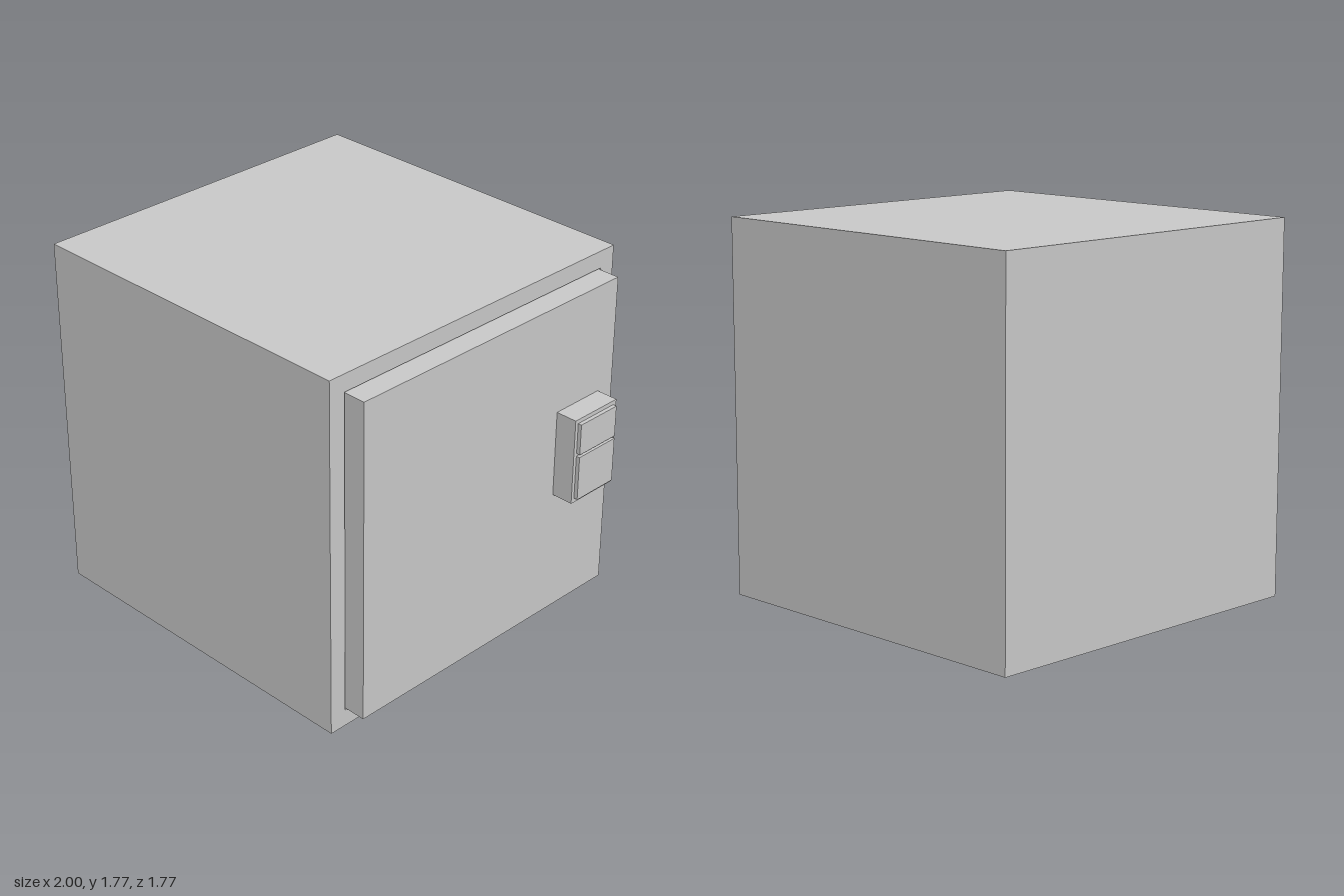
import * as THREE from 'three';

const grey = new THREE.MeshStandardMaterial({ color: 0xcccccc, flatShading: true });
const inside = new THREE.MeshStandardMaterial({ color: 0xcccccc, flatShading: true, side: THREE.BackSide });

// Box given by its minimum and maximum on each axis
function boxGeometry([x0, x1], [y0, y1], [z0, z1]) {
  return new THREE.BoxGeometry(x1 - x0, y1 - y0, z1 - z0)
    .translate((x0 + x1) / 2, (y0 + y1) / 2, (z0 + z1) / 2);
}

// The same box without its +x face
function openBoxGeometry(x, y, z) {
  const g = boxGeometry(x, y, z);
  g.setIndex(Array.from(g.index.array).slice(6));
  g.clearGroups();
  return g;
}

function rectangle(path, half, y0, y1) {
  path.moveTo(-half, y0);
  path.lineTo(half, y0);
  path.lineTo(half, y1);
  path.lineTo(-half, y1);
  path.closePath();
  return path;
}

export function createModel() {
  const model = new THREE.Group();
  const add = (name, geometry, material = grey, parent = model) => {
    const mesh = new THREE.Mesh(geometry, material);
    mesh.name = name;
    parent.add(mesh);
  };

  // Hollow cabinet, open towards +x
  const cabinet = new THREE.Group();
  cabinet.name = 'cabinet';
  model.add(cabinet);
  const front = 0.765, half = 0.885, top = 1.77, hole = 0.8, holeY = [0.085, 1.685];
  add('cabinetShell', openBoxGeometry([-1, front], [0, top], [-half, half]), grey, cabinet);
  add('cabinetLining', openBoxGeometry([-0.915, front], holeY, [-hole, hole]), inside, cabinet);
  const rim = rectangle(new THREE.Shape(), half, 0, top);
  rim.holes.push(rectangle(new THREE.Path(), hole, ...holeY));
  add('cabinetRim', new THREE.ShapeGeometry(rim).rotateY(Math.PI / 2).translate(front, 0, 0), grey, cabinet);

  // Door standing proud of the opening, with a narrow gap all round
  add('door', boxGeometry([0.66, 0.872], [0.09, 1.68], [-0.795, 0.795]));

  // Lock housing with an upper and a lower panel
  add('lockHousing', boxGeometry([0.872, 0.981], [0.708, 1.14], [-0.7, -0.42]));
  add('upperPanel', boxGeometry([0.981, 1], [0.965, 1.12], [-0.68, -0.438]));
  add('lowerPanel', boxGeometry([0.981, 1], [0.73, 0.952], [-0.68, -0.438]));

  return model;
}
